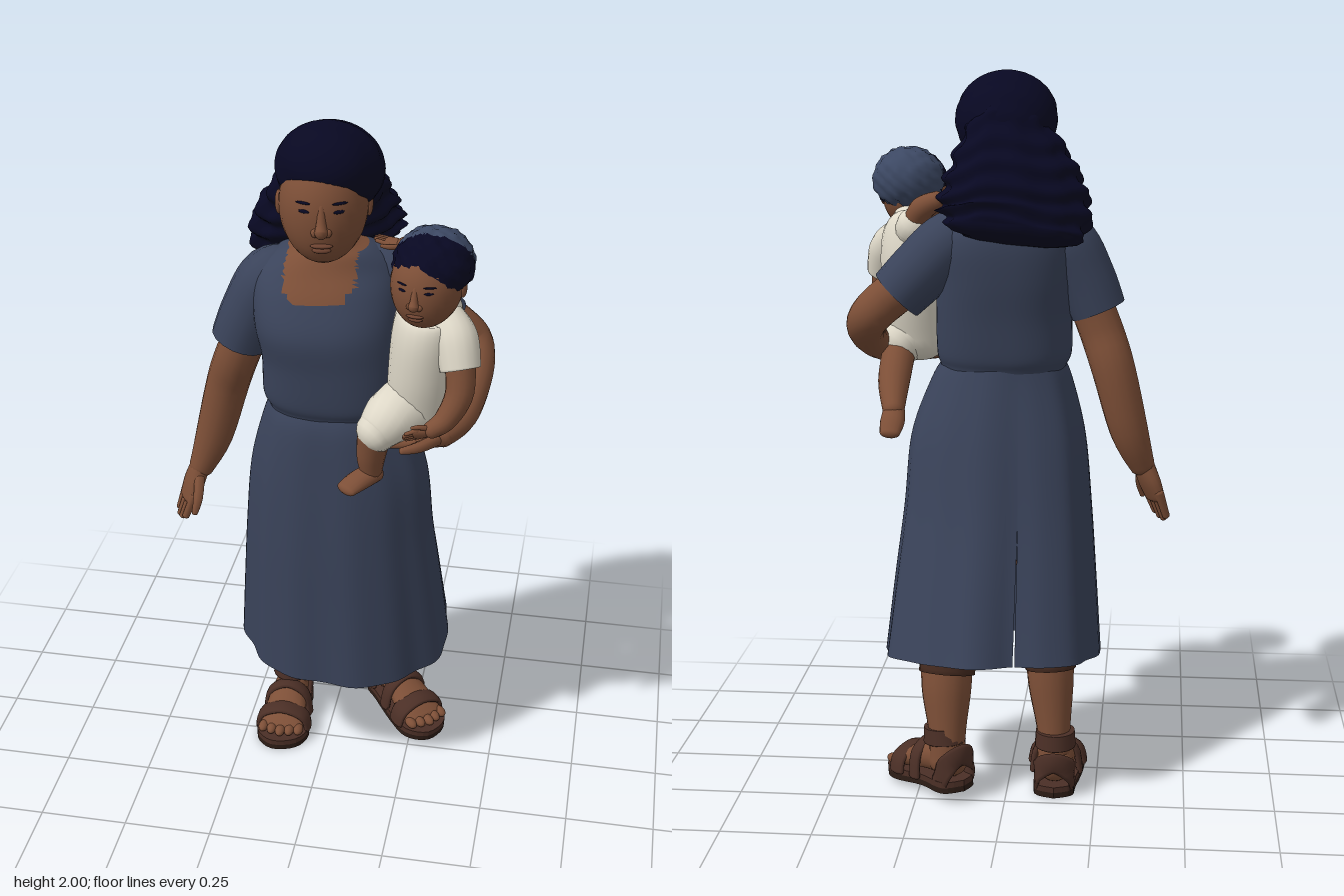
import * as THREE from 'three';
import { mergeVertices } from 'three/addons/utils/BufferGeometryUtils.js';

const mat = (name, color, side = THREE.FrontSide) => Object.assign(new THREE.MeshStandardMaterial({ color, side }), { name });
const V = (a) => new THREE.Vector3(a[0], a[1], a[2]);

// Smooth interpolation of every column in a list of rows
function sample(rows, t) {
  const last = rows.length - 1, f = t * last, i = Math.min(Math.floor(f), last - 1), u = f - i;
  return rows[0].map((_, k) => {
    const p = (j) => rows[Math.max(0, Math.min(last, j))][k];
    const m0 = (p(i + 1) - p(i - 1)) / 2, m1 = (p(i + 2) - p(i)) / 2, u2 = u * u, u3 = u2 * u;
    return (2 * u3 - 3 * u2 + 1) * p(i) + (u3 - 2 * u2 + u) * m0 + (3 * u2 - 2 * u3) * p(i + 1) + (u3 - u2) * m1;
  });
}

// Skin a list of rings into one smooth surface
function skinRings(rings, closed = true) {
  const n = rings[0].length, index = [];
  for (let i = 0; i < rings.length - 1; i++) {
    for (let j = 0; j < (closed ? n : n - 1); j++) {
      const a = i * n + j, b = i * n + (j + 1) % n;
      index.push(a, b, a + n, b, b + n, a + n);
    }
  }
  const g = new THREE.BufferGeometry().setIndex(index);
  g.setAttribute('position', new THREE.Float32BufferAttribute(rings.flat(2), 3));
  g.computeVertexNormals();
  return g;
}

// Tube with elliptical sections; rows are [x, y, z, radius along side, other radius]
function limb(rows, { side = [1, 0, 0], seg = 16, steps = 16, cap = 0.8, ripple = () => 1 } = {}) {
  const full = rows.map((r) => (r.length < 5 ? [...r, r[3]] : r)), rings = [];
  const ring = (t, shrink, shift) => {
    const s = sample(full, t), c = V(s);
    const T = V(sample(full, Math.min(1, t + 0.01))).sub(V(sample(full, Math.max(0, t - 0.01)))).normalize();
    const N = V(side).addScaledVector(T, -V(side).dot(T)).normalize(), B = T.clone().cross(N);
    c.addScaledVector(T, shift * Math.min(s[3], s[4]) * cap);
    rings.push(Array.from({ length: seg }, (_, j) => {
      const a = j / seg * Math.PI * 2, k = shrink * ripple(t, a);
      return c.clone().addScaledVector(N, s[3] * k * Math.cos(a)).addScaledVector(B, s[4] * k * Math.sin(a)).toArray();
    }));
  };
  const dome = cap < 0 ? [] : [0, 0.4, 0.8, 1.2];
  dome.forEach((p) => ring(0, Math.sin(p), -Math.cos(p)));
  for (let i = 0; i <= steps; i++) ring(i / steps, 1, 0);
  dome.reverse().forEach((p) => ring(1, Math.sin(p), Math.cos(p)));
  return skinRings(rings);
}

// Unit ball moved by a rule
function ball(rule = () => {}, seg = 28) {
  let g = new THREE.SphereGeometry(1, seg, Math.round(seg * 0.7));
  g.deleteAttribute('uv').deleteAttribute('normal');
  g = mergeVertices(g, 1e-4);
  const p = g.attributes.position;
  for (let i = 0; i < p.count; i++) {
    const v = new THREE.Vector3().fromBufferAttribute(p, i);
    rule(v);
    p.setXYZ(i, v.x, v.y, v.z);
  }
  g.computeVertexNormals();
  return g;
}

// Sort faces into two material groups by their centre
function partition(g, pick) {
  const idx = Array.from(g.index.array), p = g.attributes.position, sets = [[], []];
  for (let i = 0; i < idx.length; i += 3) {
    const face = idx.slice(i, i + 3), c = new THREE.Vector3();
    face.forEach((k) => c.add(new THREE.Vector3().fromBufferAttribute(p, k)));
    sets[pick(c.divideScalar(3)) ? 1 : 0].push(...face);
  }
  g.setIndex(sets.flat());
  g.addGroup(0, sets[0].length, 0);
  g.addGroup(sets[0].length, sets[1].length, 1);
  return g;
}

// Flattened ring point at one height; row is [y, x0, x1, z0, z1]
const oval = ([y, x0, x1, z0, z1], a, k = 1, n = 2.3) => {
  const f = (c) => Math.sign(c) * Math.abs(c) ** (2 / n) * k;
  return [(x0 + x1) / 2 + (x1 - x0) / 2 * f(Math.cos(a)), y, (z0 + z1) / 2 - (z1 - z0) / 2 * f(Math.sin(a))];
};

export function createModel() {
  const skin = mat('skin', 0x7d4f37), dress = mat('dress', 0x3a435a, THREE.DoubleSide);
  const hair = mat('hair', 0x080822), cloth = mat('cream cloth', 0xded8c8, THREE.DoubleSide);
  const leather = mat('sandal leather', 0x4b2f26), soleMat = mat('sole', 0x2c1c15);
  const lip = mat('lips', 0x6c4230), slate = mat('slate hair', 0x3c4863), under = mat('underskirt', 0x442a1f);
  const model = new THREE.Group();
  const put = (name, object, parent) => {
    parent.add(object);
    return Object.assign(object, { name });
  };
  const add = (name, geo, m, parent = model) => put(name, new THREE.Mesh(geo, m), parent);
  const group = (name, pos = [0, 0, 0]) => {
    const g = put(name, new THREE.Group(), model);
    g.position.set(...pos);
    return g;
  };
  const ellipsoid = (name, pos, r, m, parent, geo = ball(undefined, 16)) => {
    const e = add(name, geo, m, parent);
    e.position.set(...pos);
    e.scale.set(...r);
    return e;
  };

  // Bodice, neckline and neck
  const bodice = [[1.15, -.14, .2, -.1, .16, 0], [1.195, -.15, .2, -.112, .17, 0], [1.235, -.165, .21, -.125, .185, .02],
    [1.34, -.165, .21, -.135, .195, .08], [1.44, -.18, .205, -.145, .2, .15], [1.53, -.185, .2, -.145, .16, .2],
    [1.59, -.17, .18, -.13, .115, .2], [1.63, -.12, .13, -.1, .09, .1], [1.655, -.065, .075, -.07, .07, 0],
    [1.69, -.055, .065, -.045, .085, 0], [1.75, -.055, .065, -.03, .1, 0]];
  const bodyRings = Array.from({ length: 61 }, (_, i) => Array.from({ length: 64 }, (_, j) => {
    const r = sample(bodice, i / 60), [x, y, z] = oval(r, j / 64 * Math.PI * 2);
    return [x, y, z - r[5] * x];
  }));
  const bare = (c) => c.y > 1.64 || (c.z > 0.02 && Math.abs(c.x) < 0.092 && c.y > 1.53 + Math.max(0, Math.abs(c.x) - 0.06));
  add('bodice and neck', partition(skinRings(bodyRings), bare), [dress, skin]);

  // Skirt with soft folds and a slit at the back
  const skirt = [[.38, -.255, .355, -.335, .2], [.6, -.24, .33, -.272, .2], [.8, -.225, .305, -.215, .2],
    [1, -.205, .285, -.165, .195], [1.15, -.168, .23, -.125, .185], [1.21, -.145, .195, -.11, .165]];
  const skirtRings = Array.from({ length: 33 }, (_, i) => Array.from({ length: 97 }, (_, j) => {
    const t = i / 32, gap = 0.01 * Math.max(0, 1 - t * 2.4), a = 1.84 + gap + j / 96 * (Math.PI * 2 - 2 * gap);
    const dent = 0.1 * (1 - t) * Math.exp(-((((a + 3) % (Math.PI * 2) - 4.84) / 0.22) ** 2));
    const fold = 1 - dent + (1 - t * 0.75) * (0.02 * Math.sin(7 * a - 2.3) + 0.012 * Math.sin(13 * a + 1));
    const [x, y, z] = oval(sample(skirt, t), a, fold, 2.15);
    return [x, y - (1 - t) ** 2 * (0.005 + 0.14 * z), z];
  }));
  add('skirt', skinRings(skirtRings, false), dress);

  // Sleeves and arms
  add('right sleeve', limb([[-.08, 1.575, .005, .055], [-.145, 1.54, .02, .084], [-.2, 1.44, .025, .083], [-.237, 1.35, .025, .078]], { cap: -1 }), dress);
  add('left sleeve', limb([[.08, 1.58, -.03, .055], [.16, 1.545, -.05, .085], [.24, 1.47, -.062, .086], [.31, 1.4, -.07, .08]], { cap: -1, side: [0, 0, 1] }), dress);
  add('right arm', limb([[-.18, 1.46, .02, .06], [-.245, 1.3, .01, .061], [-.283, 1.19, -.015, .06], [-.328, 1.02, -.02, .053], [-.365, .92, -.005, .036]]), skin);
  add('left arm', limb([[.24, 1.46, -.065, .06], [.335, 1.39, -.09, .06], [.388, 1.335, -.09, .056], [.402, 1.28, .0, .05], [.385, 1.225, .12, .042], [.34, 1.2, .19, .035]], { side: [0, 1, 0], steps: 30 }), skin);

  // Hand: palm, four fingers and a thumb
  function hand(name, wrist, dir, wide, size) {
    const g = group(name), d = V(dir).normalize(), w = V(wide).normalize();
    const at = (along, across, r, r2 = r) => [...V(wrist).addScaledVector(d, along * size).addScaledVector(w, across * size), r * size, r2 * size];
    add('palm', limb([at(-.05, 0, .2, .18), at(.25, 0, .28, .17), at(.55, 0, .29, .13)], { side: wide, steps: 8 }), skin, g);
    for (let i = 0; i < 4; i++) {
      const x = (i - 1.5) * 0.15, len = 1 - Math.abs(i - 1.4) * 0.07;
      add('finger', limb([at(.45, x, .09), at(len, x * 0.8, .07)], { side: wide, seg: 8, steps: 3 }), skin, g);
    }
    add('thumb', limb([at(.1, .17, .1), at(.4, .4, .09), at(.65, .48, .06)], { side: wide, seg: 8, steps: 6 }), skin, g);
  }
  hand('right hand', [-.373, .91, .0], [-.35, -1, .12], [.5, 0, .85], .16);
  hand('left hand', [.34, 1.2, .19], [-1, -.06, .25], [.25, .1, 1], .17);

  // Head with face, used for both figures
  function head(name, pos, r, yaw) {
    const g = group(name, pos);
    g.rotation.y = yaw;
    g.scale.set(...r);
    add('face', ball((v) => { if (v.y < 0) v.z += 0.2 * v.y * v.y; }), skin, g);
    add('nose', limb([[0, .2, .9, .08], [0, -.08, .98, .11], [0, -.22, 1.03, .15]], { seg: 12 }), skin, g);
    ellipsoid('upper lip', [0, -.5, .91], [.25, .045, .09], lip, g);
    ellipsoid('lower lip', [0, -.59, .87], [.21, .055, .09], lip, g);
    for (const s of [-1, 1]) {
      ellipsoid('nostril', [s * .14, -.25, .96], [.09, .08, .09], skin, g);
      ellipsoid('eye', [s * .38, .11, .9], [.13, .035, .03], hair, g).rotation.y = s * 0.4;
      ellipsoid('eyebrow', [s * .4, .25, .87], [.18, .025, .03], hair, g).rotation.y = s * 0.4;
      ellipsoid('ear', [s, -.05, -.1], [.09, .22, .16], skin, g);
    }
  }
  head('head', [.012, 1.797, .105], [.115, .15, .123], .13);
  head('child head', [.295, 1.645, .215], [.092, .108, .1], -.2);

  // Wavy hair: crown and the long fall down the back
  const crown = ball((v) => v.multiplyScalar(1 + 0.012 * Math.sin(v.z * 16 + 3 * v.x * v.x)), 40);
  ellipsoid('hair crown', [.02, 1.87, .06], [.14, .12, .15], hair, model, crown).rotation.x = -0.55;
  add('long hair', limb([[.015, 1.87, 0, .1, .07], [0, 1.78, -.045, .155, .078], [-.012, 1.7, -.085, .19, .082], [-.018, 1.63, -.115, .202, .074], [-.018, 1.58, -.145, .175, .052]],
    { side: [1, 0, -.3], seg: 56, steps: 60, cap: 0.5, ripple: (t, a) => 1 + 0.06 * Math.sin(t * 34 + 1.2 * Math.sin(a * 4)) + 0.025 * Math.sin(a * 11) }), hair);

  // Legs with the darker underskirt above
  add('right leg', limb([[-.13, .08, -.14, .047], [-.13, .17, -.135, .047], [-.12, .3, -.11, .064], [-.115, .4, -.095, .068]]), skin);
  add('left leg', limb([[.165, .1, -.21, .052], [.165, .18, -.205, .052], [.17, .3, -.175, .07], [.17, .4, -.15, .073]]), skin);
  add('right underskirt', limb([[-.118, .345, -.103, .072], [-.1, .65, -.05, .085]], { cap: 0 }), under);
  add('left underskirt', limb([[.17, .345, -.163, .079], [.15, .65, -.08, .09]], { cap: 0 }), under);

  // Sandalled foot with the ankle at the local origin
  function foot(name, pos, yaw, tilt) {
    const g = group(name, pos);
    g.rotation.set(tilt, yaw, 0, 'YXZ');
    const edge = [[0, .08], [.056, .05], [.056, -.05], [.08, -.15], [.052, -.215], [-.02, -.235], [-.072, -.19], [-.074, -.11], [-.058, 0], [-.05, .055], [0, .08]];
    const outline = new THREE.Shape(new THREE.SplineCurve(edge.map((p) => new THREE.Vector2(...p))).getPoints(40));
    [['sole', soleMat, 0], ['insole', leather, .016]].forEach(([n, m, y]) => {
      const e = add(n, new THREE.ExtrudeGeometry(outline, { depth: .016, bevelEnabled: false }), m, g);
      e.rotation.x = -Math.PI / 2;
      e.position.y = y;
    });
    add('bare foot', limb([[0, .075, -.035, .044, .042], [0, .085, .02, .05, .052], [0, .07, .09, .06, .038], [0, .052, .155, .066, .026], [0, .046, .18, .062, .018]]), skin, g);
    for (let i = -2; i <= 2; i++) ellipsoid('toe', [i * .027, .046, .2 - Math.abs(i) * .007], [.015, .014, .024], skin, g);
    // Straps arched over the foot, around the ankle and behind the heel
    [[.14, .076, .09, .032], [.065, .067, .125, .022]].forEach(([z, w, h, b]) => add('strap', limb(
      [[-1, .025], [-.8, h * .75], [0, h], [.8, h * .75], [1, .025]].map(([x, y]) => [x * w, y, z, b, .01]), { side: [0, 0, 1], seg: 10 }), leather, g));
    add('ankle strap', limb([[0, .13, 0, .058, .062], [0, .175, 0, .055, .057]], { cap: 0, seg: 20 }), leather, g);
    add('heel strap', limb([[-.05, .025, -.03], [-.042, .08, -.062], [0, .105, -.078], [.042, .08, -.062], [.05, .025, -.03]].map((p) => [...p, .03, .008]), { side: [0, 1, 0], seg: 8 }), leather, g);
  }
  foot('right foot', [-.135, 0, -.14], 0, 0);
  foot('left foot', [.165, .028, -.21], .75, .09);

  // Child: suit, limbs and bare feet
  add('child suit', limb([[.275, 1.25, .14, .088, .09], [.285, 1.36, .14, .095, .115], [.292, 1.48, .143, .093, .122], [.298, 1.55, .145, .08, .1], [.3, 1.585, .16, .05, .06]], { steps: 20, seg: 24 }), cloth);
  add('child right thigh', limb([[.26, 1.27, .15, .085], [.21, 1.255, .22, .075], [.175, 1.225, .255, .055]]), cloth);
  add('child left thigh', limb([[.29, 1.27, .13, .085], [.325, 1.235, .1, .065]]), cloth);
  add('child right shin', limb([[.172, 1.22, .25, .045], [.163, 1.15, .24, .039], [.163, 1.1, .235, .03]]), skin);
  add('child right foot', limb([[.17, 1.09, .225, .03, .026], [.135, 1.083, .265, .033, .024], [.108, 1.076, .305, .03, .015]]), skin);
  add('child left shin', limb([[.33, 1.22, .1, .048], [.33, 1.15, -.01, .045], [.318, 1.085, -.11, .03]]), skin);
  add('child left foot', limb([[.318, 1.085, -.1, .03, .026], [.317, 1.06, -.14, .034, .024], [.32, 1.035, -.172, .028, .015]]), skin);
  add('child left sleeve', limb([[.335, 1.535, .17, .05], [.37, 1.49, .205, .058], [.388, 1.42, .235, .053]], { cap: 0 }), cloth);
  add('child right sleeve', limb([[.285, 1.53, .11, .06], [.275, 1.575, .055, .053]]), cloth);
  add('child left arm', limb([[.385, 1.45, .225, .04], [.39, 1.36, .25, .037], [.36, 1.295, .275, .03], [.325, 1.27, .295, .023]]), skin);
  add('child right arm', limb([[.275, 1.58, .06, .036], [.25, 1.625, .03, .034], [.205, 1.65, .01, .026]]), skin);
  hand('child left hand', [.325, 1.27, .295], [-1, -.35, .1], [0, .8, .5], .075);
  hand('child right hand', [.205, 1.65, .01], [-1, .15, -.2], [-.1, 0, 1], .08);

  // Child's curly hair, slate at the back
  const curls = ball((v) => v.multiplyScalar(1 + 0.03 * Math.sin(v.x * 15 + 1) * Math.sin(v.y * 17) + 0.03 * Math.sin(v.z * 16) * Math.cos(v.x * 13)), 44);
  ellipsoid('child hair', [.308, 1.69, .193], [.103, .092, .105], [hair, slate], model, partition(curls, (c) => 0.1 * c.x + 0.4 * c.y - 0.9 * c.z > 0.1));
  return model;
}
